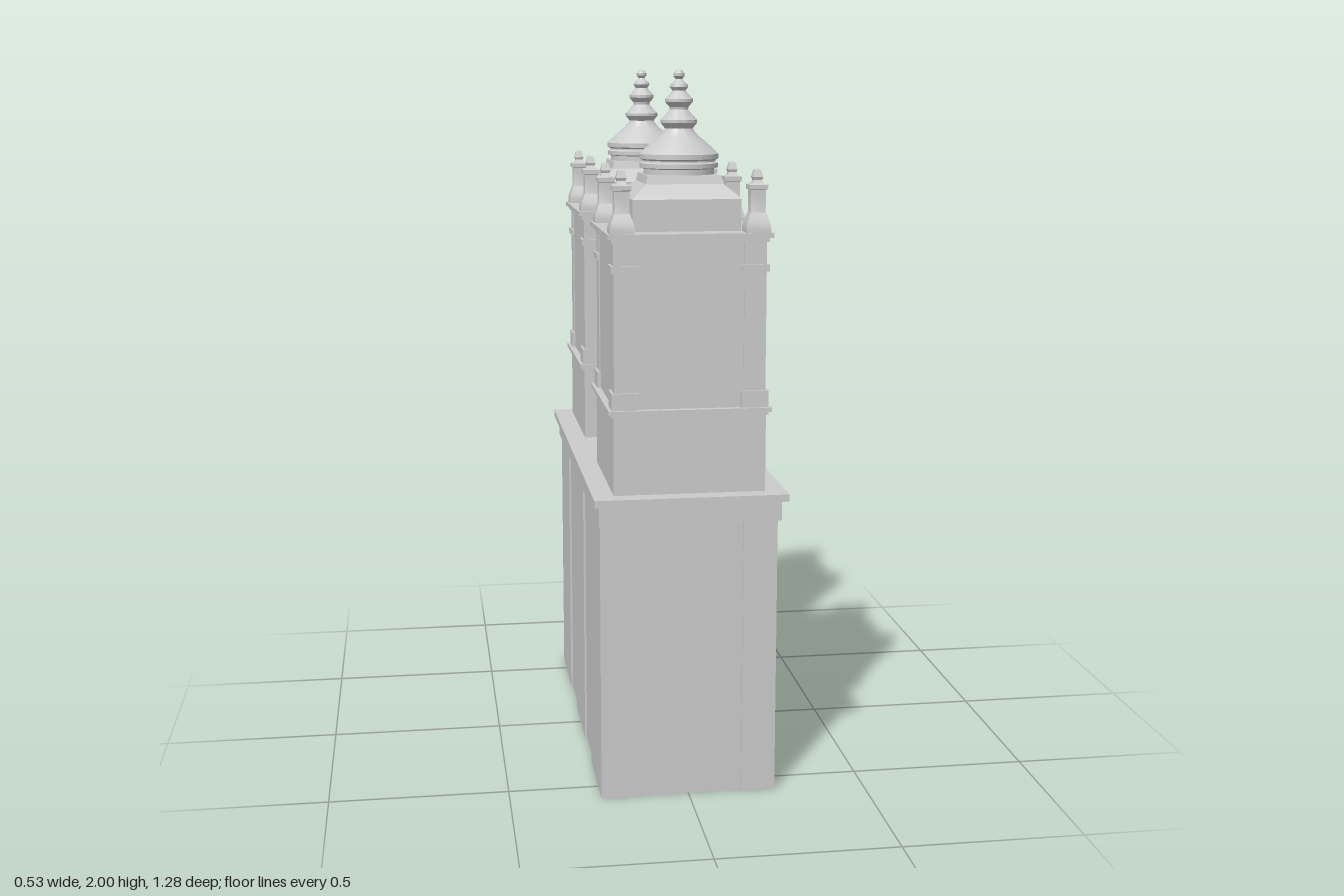
import * as THREE from 'three';
import { toCreasedNormals } from 'three/addons/utils/BufferGeometryUtils.js';

const grey = new THREE.MeshStandardMaterial({ color: 0xcccccc });

function add(parent, name, geometry, x = 0, y = 0, z = 0) {
  const mesh = new THREE.Mesh(geometry, grey);
  mesh.name = name;
  mesh.position.set(x, y, z);
  parent.add(mesh);
  return mesh;
}

// Box given by its ranges on the three axes
function block(parent, name, x0, x1, y0, y1, z0, z1) {
  return add(parent, name, new THREE.BoxGeometry(x1 - x0, y1 - y0, z1 - z0),
    (x0 + x1) / 2, (y0 + y1) / 2, (z0 + z1) / 2);
}

// Turned profile of [radius, y] pairs; four segments give a square section of that half width
function turned(profile, segments) {
  const k = segments === 4 ? Math.SQRT2 : 1;
  const points = profile.map(([r, y]) => new THREE.Vector2(r * k, y));
  const geometry = new THREE.LatheGeometry(points, segments, segments === 4 ? Math.PI / 4 : 0);
  return toCreasedNormals(geometry, 0.45);
}

const pinnacleProfile = [[0.033, 0], [0.033, 0.015], [0.029, 0.03], [0.022, 0.05], [0.02, 0.055],
  [0.02, 0.112], [0.025, 0.114], [0.025, 0.126], [0.014, 0.13], [0.011, 0.138], [0.014, 0.146], [0.009, 0.165], [0, 0.168]];

const atticProfile = [[0.147, 1.575], [0.147, 1.66], [0.14, 1.668], [0.105, 1.698], [0.1, 1.72], [0, 1.72]];

const domeProfile = [[0.097, 1.7], [0.097, 1.735], [0.107, 1.738], [0.107, 1.75], [0.1, 1.754], [0.1, 1.758],
  [0.108, 1.762], [0.108, 1.775], [0.098, 1.784], [0.075, 1.806], [0.054, 1.822], [0.042, 1.836], [0.038, 1.843],
  [0.05, 1.858], [0.05, 1.866], [0.036, 1.88], [0.025, 1.893], [0.026, 1.9], [0.038, 1.914], [0.038, 1.922],
  [0.024, 1.936], [0.018, 1.944], [0.025, 1.954], [0.023, 1.961], [0.012, 1.97], [0.009, 1.975],
  [0.015, 1.982], [0.015, 1.99], [0.009, 1.998], [0, 2]];

// Window panel and round opening, modelled on a wall facing +z
function wallDetails() {
  const group = new THREE.Group();
  group.name = 'wallDetails';
  block(group, 'windowPanel', -0.07, 0.07, 1.13, 1.45, 0.19, 0.208);
  const ring = new THREE.Shape().absarc(0, 0, 0.057, 0, Math.PI * 2, false);
  ring.holes.push(new THREE.Path().absarc(0, 0, 0.045, 0, Math.PI * 2, true));
  add(group, 'roundWindowRing', new THREE.ExtrudeGeometry(ring,
    { depth: 0.008, bevelEnabled: false, curveSegments: 24 }), 0, 0.98, 0.205);
  return group;
}

function tower() {
  const group = new THREE.Group();
  group.name = 'tower';
  const square = (name, half, y0, y1) => block(group, name, -half, half, y0, y1, -half, half);
  square('towerBase', 0.208, 0.86, 1.09);
  square('lowerCorniceMoulding', 0.214, 1.083, 1.092);
  square('lowerCornice', 0.222, 1.092, 1.104);
  square('belfry', 0.203, 1.1, 1.56);
  square('upperCorniceMoulding', 0.212, 1.55, 1.562);
  square('upperCornice', 0.222, 1.562, 1.575);

  for (const sx of [-1, 1]) for (const sz of [-1, 1]) {
    // Corner pilaster with its plinth and capital
    const corner = (name, half, y0, y1) => add(group, name,
      new THREE.BoxGeometry(half * 2, y1 - y0, half * 2), sx * 0.176, (y0 + y1) / 2, sz * 0.176);
    corner('cornerPilaster', 0.03, 1.1, 1.555);
    corner('pilasterPlinth', 0.037, 1.1, 1.15);
    corner('pilasterCapital', 0.037, 1.472, 1.49);
    add(group, 'pinnacle', turned(pinnacleProfile, 4), sx * 0.182, 1.575, sz * 0.182);
  }

  // Details on the two decorated walls
  for (const angle of [Math.PI / 2, Math.PI]) {
    const details = wallDetails();
    details.rotation.y = angle;
    group.add(details);
  }

  add(group, 'attic', turned(atticProfile, 4));
  add(group, 'dome', turned(domeProfile, 40));
  return group;
}

// Round-headed outline standing on y = 0
function archOutline(path, r, spring) {
  path.moveTo(-r, 0);
  path.lineTo(r, 0);
  path.lineTo(r, spring);
  path.absarc(0, spring, r, 0, Math.PI, false);
  path.lineTo(-r, 0);
  return path;
}

export function createModel() {
  const model = new THREE.Group();
  model.name = 'twinTowerChurchFacade';

  // Main body and its cornice
  block(model, 'body', -0.24, 0.238, 0, 0.8, -0.58, 0.58);
  block(model, 'corniceFrieze', -0.251, 0.251, 0.79, 0.85, -0.612, 0.612);
  block(model, 'corniceSlab', -0.266, 0.266, 0.85, 0.87, -0.64, 0.64);

  for (const s of [-1, 1]) {
    // Pilasters on the portal side
    const strip = (name, x0, x1, a, b) => block(model, name, x0, x1, 0, 0.795, Math.min(a * s, b * s), Math.max(a * s, b * s));
    strip('outerPilaster', 0.15, 0.246, 0.475, 0.585);
    strip('innerPilaster', 0.2, 0.246, 0.14, 0.25);
    // Wide strips on the plain side
    strip('rearPilaster', -0.246, -0.147, 0.32, 0.585);
    // Raised panels beside the portal
    for (const y of [0.12, 0.39]) {
      const z = s * 0.36;
      block(model, 'facadePanel', 0.22, 0.242, y, y + 0.255, z - 0.08, z + 0.08);
    }
  }
  block(model, 'rearCentrePilaster', -0.246, -0.2, 0, 0.795, -0.13, 0.13);

  // Arched portal with a sunken door
  const frame = archOutline(new THREE.Shape(), 0.11, 0.4);
  frame.holes.push(archOutline(new THREE.Path(), 0.085, 0.4));
  const portal = add(model, 'portalFrame', new THREE.ExtrudeGeometry(frame,
    { depth: 0.015, bevelEnabled: false, curveSegments: 20 }), 0.235, 0, 0);
  portal.rotation.y = Math.PI / 2;
  const door = add(model, 'door', new THREE.ExtrudeGeometry(archOutline(new THREE.Shape(), 0.085, 0.4),
    { depth: 0.006, bevelEnabled: false, curveSegments: 20 }), 0.235, 0, 0);
  door.rotation.y = Math.PI / 2;

  // Both towers
  for (const z of [-0.382, 0.382]) {
    const t = tower();
    t.position.z = z;
    model.add(t);
  }
  return model;
}
